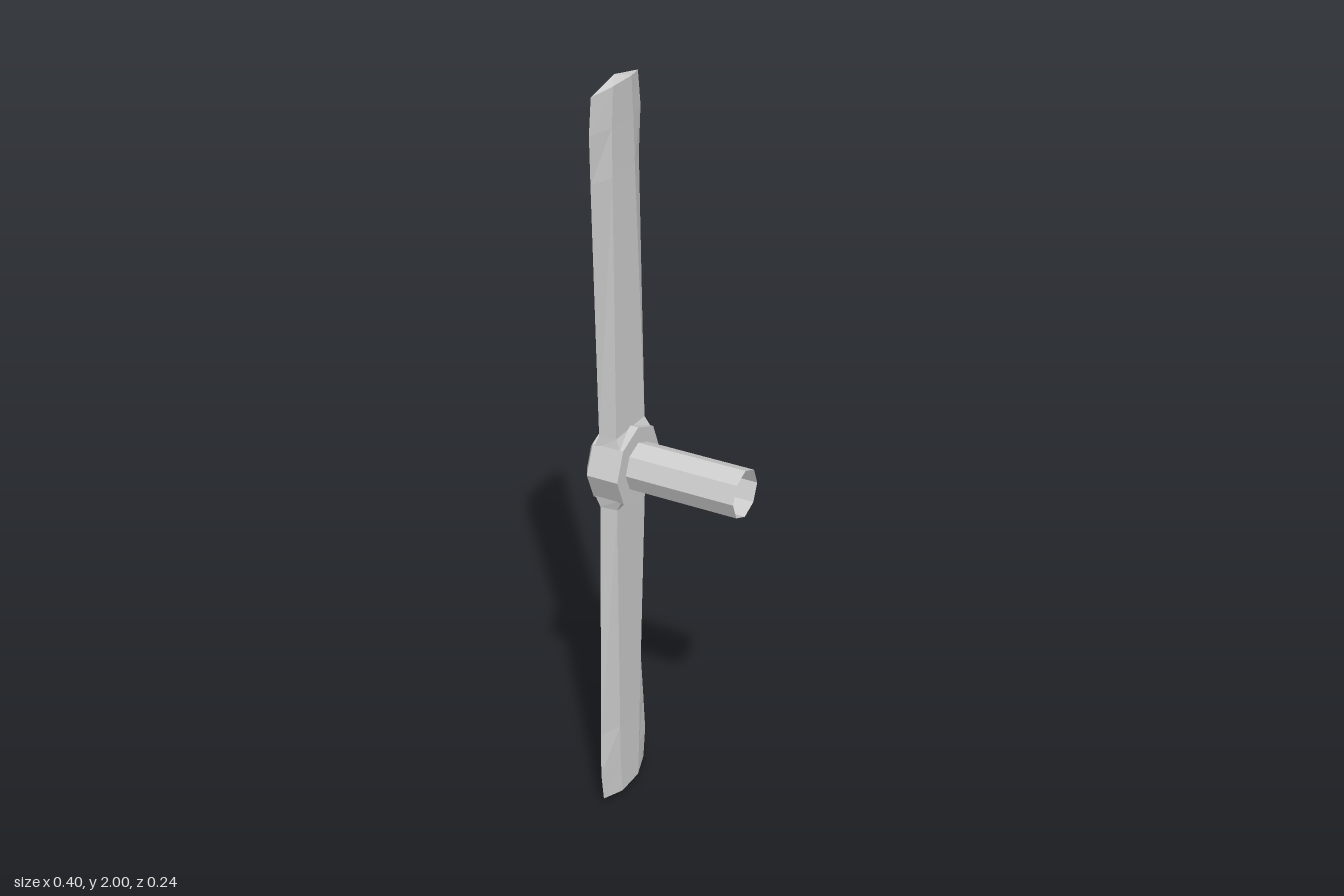
import * as THREE from 'three';

const material = new THREE.MeshStandardMaterial({ color: 0xcccccc, flatShading: true, side: THREE.DoubleSide });

// Eight-sided solid of revolution about the x axis; profile is [radius, x]
function turned(name, profile) {
  const geometry = new THREE.LatheGeometry(profile.map(([r, x]) => new THREE.Vector2(r, x)), 8);
  geometry.rotateZ(-Math.PI / 2);
  const mesh = new THREE.Mesh(geometry, material);
  mesh.name = name;
  return mesh;
}

// Blade: five-cornered sections with a flat outer face and two ridges inside.
// Heights are measured from the hub's axis.
function bladeGeometry() {
  // y at edges, y at centre, y at ridges, outer x, ridge x, half width, ridge z
  const sections = [
    [0.06, 0.06, 0.06, -0.18, -0.097, 0.078, 0.078],
    [0.1, 0.1, 0.1, -0.164, -0.118, 0.074, 0.07],
    [0.77, 0.77, 0.77, -0.152, -0.129, 0.112, 0.052],
    [0.89, 0.89, 0.89, -0.15, -0.13, 0.118, 0.049],
    [0.978, 1, 0.987, -0.15, -0.13, 0.107, 0.042],
  ];
  const rings = sections.map(([ye, yc, yr, xo, xr, w, rz]) => [
    [xo, ye, -w], [xo, yc, 0], [xo, ye, w], [xr, yr, rz], [xr, yr, -rz],
  ]);
  const n = 5;
  const index = [];
  for (let s = 0; s < rings.length - 1; s++) {
    for (let i = 0; i < n; i++) {
      const a = s * n + i, b = s * n + (i + 1) % n;
      index.push(a, b, b + n, a, b + n, a + n);
    }
  }
  // Tip cap, fanned from the peak
  const t = (rings.length - 1) * n;
  for (const [a, b] of [[2, 3], [3, 4], [4, 0]]) index.push(t + 1, t + a, t + b);

  const geometry = new THREE.BufferGeometry();
  geometry.setAttribute('position', new THREE.Float32BufferAttribute(rings.flat(2), 3));
  geometry.setIndex(index);
  geometry.computeVertexNormals();
  return geometry;
}

export function createModel() {
  const model = new THREE.Group();
  model.name = 'propeller';

  const rotor = new THREE.Group();
  rotor.name = 'rotor';
  rotor.position.y = 1;
  model.add(rotor);

  // Bevelled hub and open-ended shaft
  rotor.add(turned('hub', [[0, -0.2], [0.075, -0.2], [0.106, -0.182], [0.106, -0.096], [0.064, -0.096]]));
  rotor.add(turned('shaft', [[0.064, -0.096], [0.064, 0.2]]));

  // Two opposite blades
  const geometry = bladeGeometry();
  ['upperBlade', 'lowerBlade'].forEach((name, i) => {
    const blade = new THREE.Mesh(geometry, material);
    blade.name = name;
    blade.rotation.x = i * Math.PI;
    rotor.add(blade);
  });

  return model;
}
